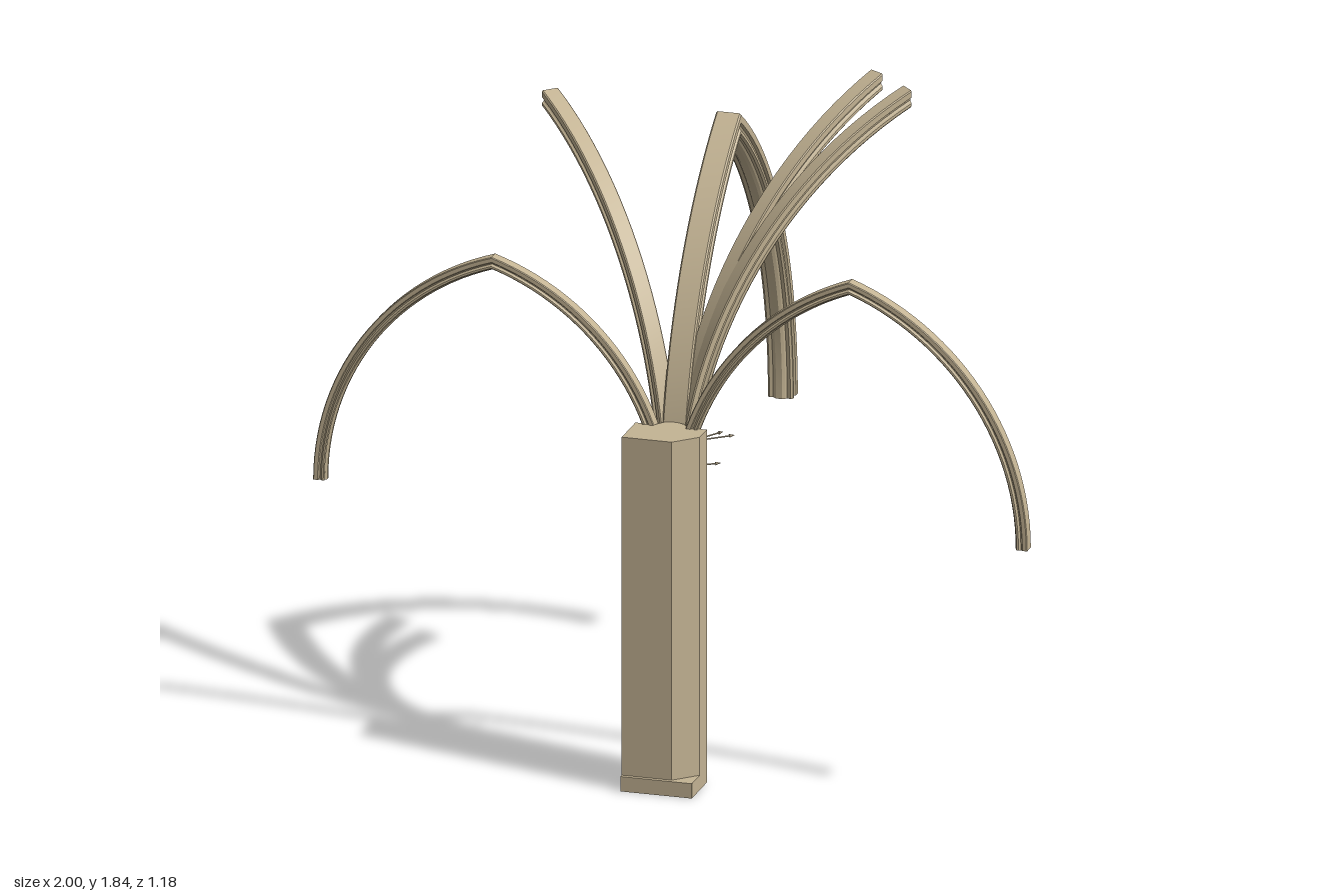
import * as THREE from 'three';

const SPRING = 0.75; // height at which the ribs start to curve
const stone = new THREE.MeshStandardMaterial({ color: 0xc4b494 });
stone.name = 'sandstone';

// Half of the rib moulding: across (0..0.5), depth (0 = top face, 1 = underside)
const HALF = [
  [0.44, 0], [0.5, 0.06], [0.5, 0.36], [0.4, 0.42], [0.36, 0.52], [0.42, 0.6],
  [0.5, 0.66], [0.5, 0.8], [0.42, 0.88], [0.28, 0.84], [0.22, 0.92], [0.12, 1],
];
const PROFILE = [...HALF, ...HALF.map(([u, v]) => [-u, v]).reverse()];

// One half of a pointed arch: a moulding swept up an arc and cut at the crown plane.
// far = the mirrored half that comes down on the other side of the crown.
function ribHalf({ origin, dir, span, top, width, depth, far = false, capCrown = true }) {
  const D = new THREE.Vector3(dir[0], 0, dir[1]).normalize();
  const S = new THREE.Vector3(-D.z, 0, D.x);
  const h = top - SPRING;
  const R = (h * h + span * span) / (2 * span);
  const N = 28;
  const pts = PROFILE.map(([u, v]) => [u * width, v * depth]);
  const place = ([u, v], i) => {
    const r = R - v;
    const t = (Math.max(i, 0) / N) * Math.acos((R - span) / r);
    const a = R - r * Math.cos(t);
    const y = i < 0 ? 0 : SPRING + r * Math.sin(t);
    return new THREE.Vector3(origin[0], y, origin[1])
      .addScaledVector(D, far ? 2 * span - a : a)
      .addScaledVector(S, u);
  };
  const first = far ? 0 : -1; // the near half runs on down to the floor as a shaft
  const pos = [], idx = [];
  const tri = (a, b, c) => (far ? idx.push(a, c, b) : idx.push(a, b, c));

  // Moulding faces: sharp between profile edges, smooth along the sweep
  pts.forEach((p, j) => {
    const q = pts[(j + 1) % pts.length];
    const base = pos.length / 3;
    for (let i = first; i <= N; i++) {
      pos.push(...place(p, i).toArray(), ...place(q, i).toArray());
      if (i < N) {
        const k = base + (i - first) * 2;
        tri(k, k + 1, k + 3);
        tri(k, k + 3, k + 2);
      }
    }
  });

  // End faces
  const flat = THREE.ShapeUtils.triangulateShape(pts.map(([u, v]) => new THREE.Vector2(u, v)), []);
  const cap = (i, flip) => {
    const base = pos.length / 3;
    pts.forEach((p) => pos.push(...place(p, i).toArray()));
    flat.forEach(([a, b, c]) => (flip ? tri(base + a, base + c, base + b) : tri(base + a, base + b, base + c)));
  };
  cap(first, true);
  if (capCrown) cap(N, false);

  const geo = new THREE.BufferGeometry();
  geo.setAttribute('position', new THREE.Float32BufferAttribute(pos, 3));
  geo.setIndex(idx);
  geo.computeVertexNormals();
  return new THREE.Mesh(geo, stone);
}

// Prism standing on a plan given as [x, z] points
function prism(name, plan, y0, y1) {
  const shape = new THREE.Shape(plan.map(([x, z]) => new THREE.Vector2(x, -z)));
  const geo = new THREE.ExtrudeGeometry(shape, { depth: y1 - y0, bevelEnabled: false });
  geo.rotateX(-Math.PI / 2).translate(0, y0, 0);
  const mesh = new THREE.Mesh(geo, stone);
  mesh.name = name;
  return mesh;
}

// Thin pin with a small head, running level between two [x, z] points
function pin(name, y, from, to) {
  const a = new THREE.Vector3(from[0], y, from[1]);
  const b = new THREE.Vector3(to[0], y, to[1]);
  const group = new THREE.Group();
  group.name = name;
  const rod = new THREE.Mesh(new THREE.CylinderGeometry(0.002, 0.002, a.distanceTo(b), 6), stone);
  const head = new THREE.Mesh(new THREE.ConeGeometry(0.005, 0.016, 6), stone);
  rod.position.copy(a).lerp(b, 0.5);
  head.position.copy(b);
  for (const m of [rod, head]) {
    m.quaternion.setFromUnitVectors(new THREE.Vector3(0, 1, 0), b.clone().sub(a).normalize());
    group.add(m);
  }
  return group;
}

export function createModel() {
  const model = new THREE.Group();
  model.name = 'vaultPier';

  // Pier with one chamfered front corner, and its square plinth
  const back = [[0.1, 0.455], [0.045, 0.455], [0.028, 0.43], [0, 0.42], [-0.028, 0.43], [-0.045, 0.455], [-0.1, 0.455]];
  model.add(prism('pier', [[-0.1, 0.58], [0.04, 0.58], [0.1, 0.52], ...back], 0.04, 1));
  model.add(prism('plinth', [[-0.1, 0.592], [0.1, 0.592], ...back], 0, 0.042));

  // Full pointed arches: two to the sides, one to the back
  const arches = [
    { name: 'rightWallArch', origin: [0, 0.447], dir: [-1, 0], span: 0.5, top: 1.43, width: 0.037, depth: 0.036 },
    { name: 'leftWallArch', origin: [0, 0.447], dir: [1, 0], span: 0.5, top: 1.46, width: 0.037, depth: 0.036 },
    { name: 'crossArch', origin: [0, 0.45], dir: [0, -1], span: 0.52, top: 1.715, width: 0.07, depth: 0.06 },
  ];
  for (const a of arches) {
    const arch = new THREE.Group();
    arch.name = a.name;
    for (const far of [false, true]) arch.add(ribHalf({ ...a, far, capCrown: false }));
    model.add(arch);
  }

  // Diagonal half ribs that stop at the crown
  const ribs = [
    { name: 'rightDiagonalRib', dir: [-0.5, -0.5], span: 0.707, top: 1.73 },
    { name: 'leftDiagonalRib', dir: [0.5, -0.5], span: 0.707, top: 1.835 },
    { name: 'leftTierceronRib', dir: [0.383, -0.605], span: 0.715, top: 1.835 },
  ];
  for (const r of ribs) {
    const rib = ribHalf({ ...r, origin: [0, 0.43], width: 0.05, depth: 0.05 });
    rib.name = r.name;
    model.add(rib);
  }

  // Small pins behind the pier
  model.add(pin('longPinOuter', 0.94, [0.03, 0.4], [0.128, 0.315]));
  model.add(pin('longPinInner', 0.94, [0.03, 0.4], [0.092, 0.298]));
  model.add(pin('shortPinRight', 0.87, [-0.03, 0.4], [-0.1, 0.35]));
  model.add(pin('shortPinLeft', 0.87, [0.03, 0.4], [0.1, 0.35]));
  return model;
}
